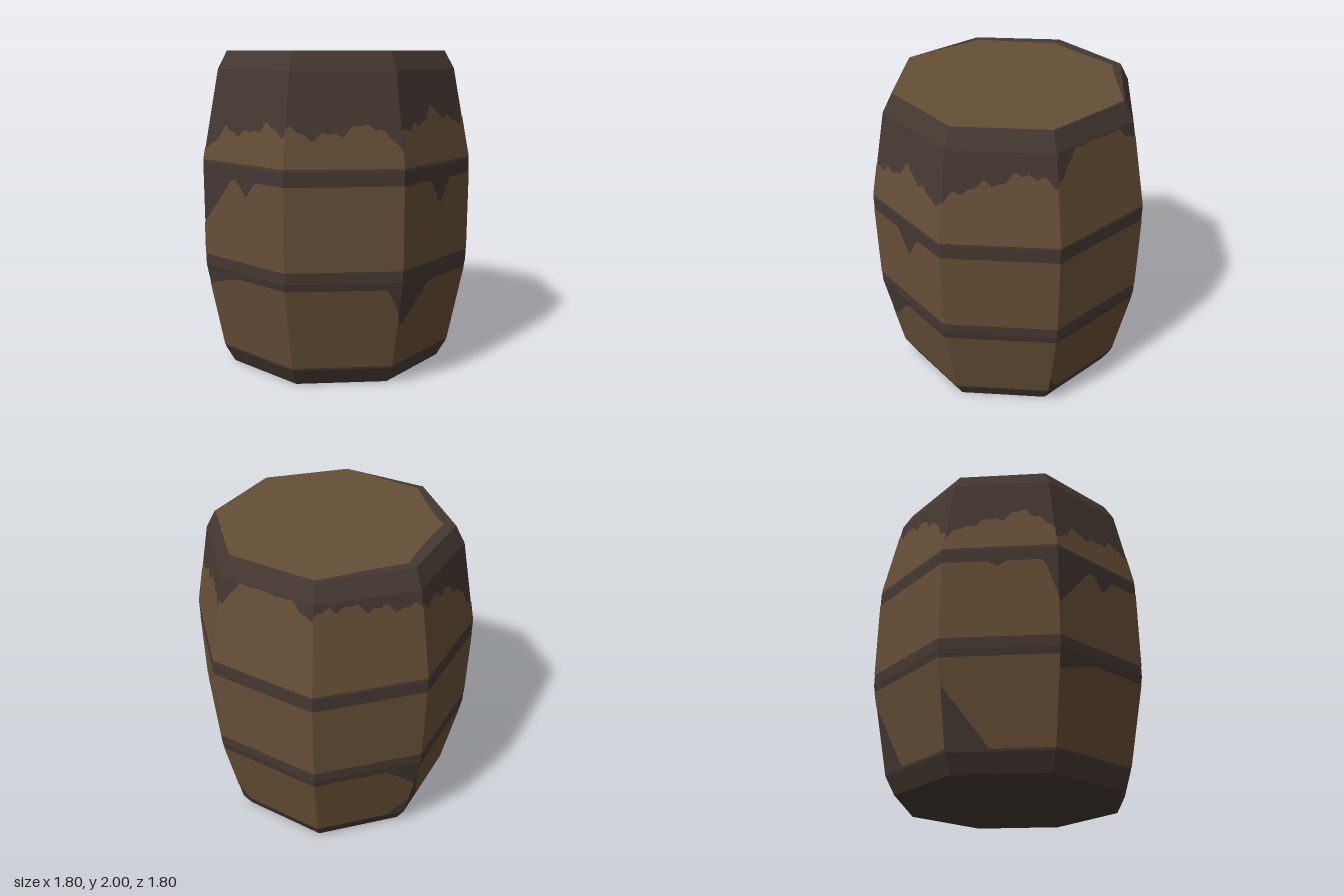
import * as THREE from 'three';

const SIDES = 8;
const STEPS = 28;

// barrel outline: radius, height
const PROFILE = [[0.725, 0], [0.785, 0.11], [0.896, 0.68], [0.896, 1.33], [0.785, 1.89], [0.725, 2]];

// rows of bare wood between the dark hoops: lower and upper edge
const ROWS = { lower: [0.125, 0.635], middle: [0.75, 1.248], upper: [1.348, 1.885] };

// how high the bare wood reaches on the upper row, at even steps across each side
const REACH = [
  [1.57, 1.52, 1.55, 1.6, 1.45], // front, left half
  [1.57, 1.57, 1.67, 1.59, 1.57], // left, front half
  [1.6, 1.69, 1.72, 1.78, 1.7], // left, back half
  [1.72, 1.9, 1.9, 1.88, 1.8], // back, left half
  [1.83, 1.86, 1.83, 1.81, 1.8], // back, right half
  [1.79, 1.78, 1.75, 1.65, 1.47], // right, back half
  [1.45, 1.55, 1.58, 1.65, 1.48], // right, front half
  [1.41, 1.54, 1.52, 1.58, 1.54], // front, right half
];

// stains narrowing the rows: position across the side, half width, depth
const drip = (side, row, u, width, depth) => ({ side, row, u, width, depth, fromTop: true });
const soak = (side, row, u, width, depth) => ({ side, row, u, width, depth, fromTop: false });
const STAINS = [
  drip(0, 'lower', 1, 0.12, 0.16),
  drip(1, 'middle', 0.53, 0.14, 0.16),
  drip(1, 'lower', 0.06, 0.34, 0.24),
  soak(3, 'lower', 0, 0.12, 0.12),
  drip(4, 'lower', 1, 0.32, 0.18),
  soak(4, 'lower', 1, 0.22, 0.14),
  soak(5, 'lower', 0, 0.3, 0.42),
  drip(6, 'middle', 1, 0.12, 0.25),
  drip(6, 'middle', 0.48, 0.08, 0.04),
  soak(6, 'lower', 0, 0.4, 0.35),
  drip(7, 'middle', 0, 0.38, 0.3),
  drip(7, 'middle', 0.55, 0.11, 0.1),
  drip(7, 'lower', 0, 0.42, 0.08),
];

function radiusAt(y) {
  const i = Math.max(1, PROFILE.findIndex((p) => y <= p[1]));
  const [r0, y0] = PROFILE[i - 1], [r1, y1] = PROFILE[i];
  return THREE.MathUtils.mapLinear(y, y0, y1, r0, r1);
}

// point on one flat side: u runs left to right seen from outside
function onSide(side, u, y) {
  const r = radiusAt(y) + 0.003;
  const a = (side * 2 * Math.PI) / SIDES, b = a + (2 * Math.PI) / SIDES;
  return [
    r * THREE.MathUtils.lerp(Math.sin(a), Math.sin(b), u), y,
    r * THREE.MathUtils.lerp(Math.cos(a), Math.cos(b), u)];
}

// ragged upper edge of the bare wood
function reachAt(side, u) {
  const heights = REACH[side];
  const t = u * (heights.length - 1), i = Math.min(Math.floor(t), heights.length - 2);
  const ragged = 0.018 * Math.sin(23 * u + 3 * side) + 0.012 * Math.sin(47 * u + 5 * side);
  return THREE.MathUtils.lerp(heights[i], heights[i + 1], t - i) + ragged;
}

const shapeOf = (points) => new THREE.ShapeGeometry(new THREE.Shape(points));

// one patch of bare wood, outlined in columns and laid on its side of the barrel
function woodPatch(side, row) {
  const lowEdge = [], highEdge = [];
  for (let i = 0; i <= STEPS; i++) {
    const u = i / STEPS;
    let [low, high] = ROWS[row];
    if (row === 'upper') high = Math.min(high, reachAt(side, u));
    for (const s of STAINS) {
      if (s.side !== side || s.row !== row) continue;
      const bite = s.depth * Math.max(0, 1 - Math.abs(u - s.u) / s.width);
      if (s.fromTop) high -= bite;
      else low += bite;
    }
    lowEdge.push(new THREE.Vector2(u, low));
    highEdge.unshift(new THREE.Vector2(u, high));
  }
  const geo = shapeOf([...lowEdge, ...highEdge]);
  const pos = geo.attributes.position;
  for (let i = 0; i < pos.count; i++) pos.setXYZ(i, ...onSide(side, pos.getX(i), pos.getY(i)));
  geo.computeVertexNormals();
  return geo;
}

// lid outline with a worn, stained margin along its right and back right edges
function lidOutline() {
  const points = [];
  const apothem = 0.725 * Math.cos(Math.PI / SIDES);
  for (let i = 0; i < SIDES * 4; i++) {
    const a = (i / (SIDES * 4)) * 2 * Math.PI;
    const fromMiddle = (a % (Math.PI / 4)) - Math.PI / 8;
    const margin = 0.07 * Math.max(0, Math.cos(a - Math.PI * 0.97));
    const r = apothem / Math.cos(fromMiddle) - margin - 0.004;
    points.push(new THREE.Vector2(r * Math.cos(a), r * Math.sin(a)));
  }
  return points;
}

export function createModel() {
  const wood = new THREE.MeshStandardMaterial({ color: 0x654e36 });
  wood.name = 'brown wood';
  const stained = new THREE.MeshStandardMaterial({ color: 0x453831 });
  stained.name = 'dark stained wood';

  const barrel = new THREE.Group();
  barrel.name = 'barrel';
  const add = (name, geo, mat, parent) => {
    const mesh = new THREE.Mesh(geo, mat);
    mesh.name = name;
    parent.add(mesh);
  };

  // dark body with rims and hoops
  const outline = [[0, 0], ...PROFILE, [0, 2]].map((p) => new THREE.Vector2(...p));
  const body = new THREE.LatheGeometry(outline, SIDES).toNonIndexed();
  body.computeVertexNormals();
  add('body', body, stained, barrel);

  // bare wood between the hoops
  for (let side = 0; side < SIDES; side++) {
    const staves = new THREE.Group();
    staves.name = `staves${side + 1}`;
    for (const row of Object.keys(ROWS)) add(`${row}Wood`, woodPatch(side, row), wood, staves);
    barrel.add(staves);
  }

  // lid
  add('lid', shapeOf(lidOutline()).rotateX(-Math.PI / 2).translate(0, 2.002, 0), wood, barrel);
  return barrel;
}
